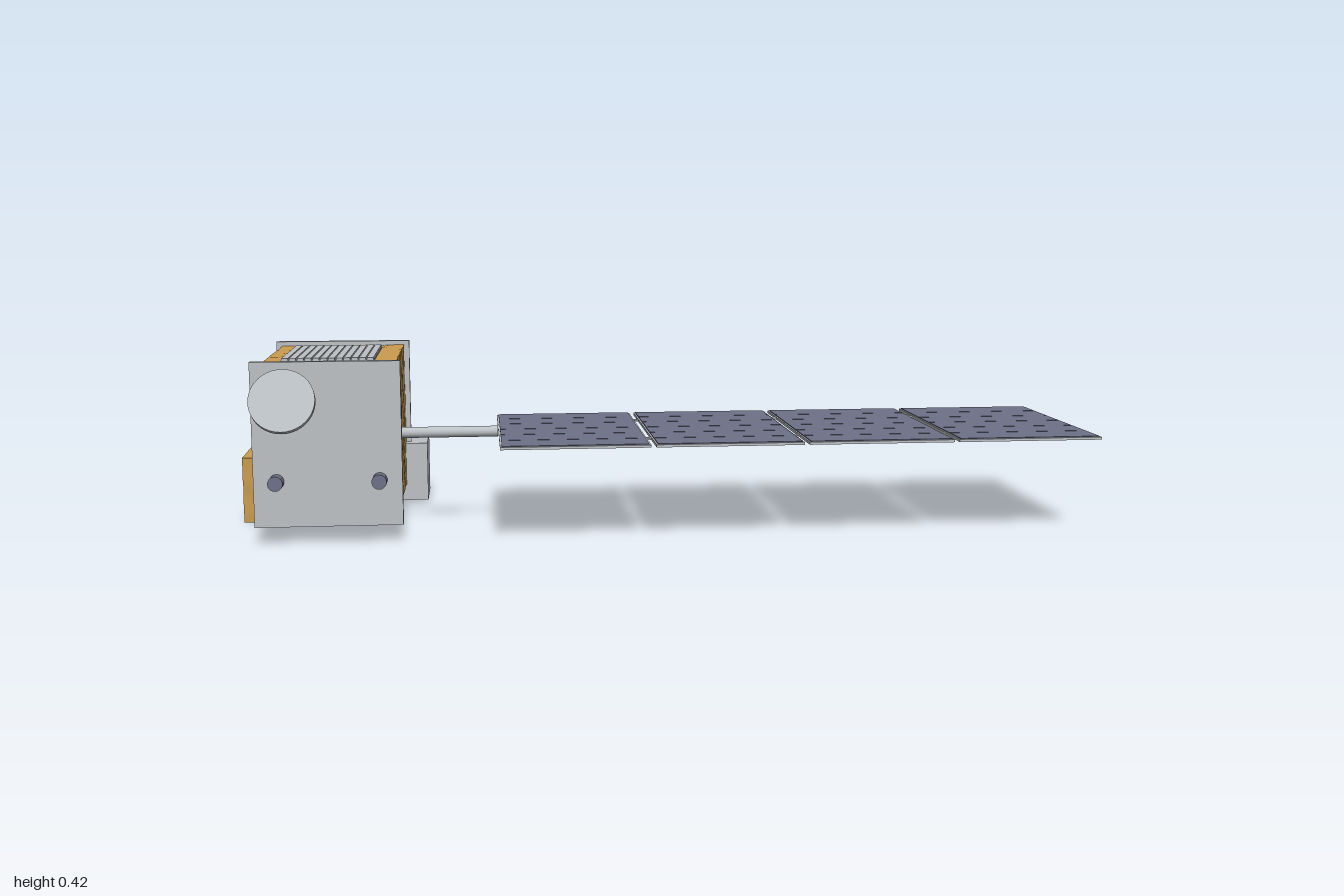
import * as THREE from 'three';

const mat = (name, color, side = THREE.FrontSide) =>
  Object.assign(new THREE.MeshStandardMaterial({ color, side }), { name });

export function createModel() {
  const model = new THREE.Group();
  model.name = 'satellite';
  const gold = mat('gold foil', 0xcb9c4f);
  const grey = mat('light grey', 0xbcc1c5);
  const dark = mat('dark optics', 0x1f2b31, THREE.DoubleSide);
  const cell = mat('solar cell', 0x6e7187);

  const add = (name, geo, material, x = 0, y = 0, z = 0, parent = model) => {
    const m = new THREE.Mesh(geo, material);
    m.name = name;
    m.position.set(x, y, z);
    parent.add(m);
    return m;
  };

  // Box given by its minimum and maximum corners
  const box = (name, material, a, b, parent = model) =>
    add(name, new THREE.BoxGeometry(b[0] - a[0], b[1] - a[1], b[2] - a[2]), material,
      (a[0] + b[0]) / 2, (a[1] + b[1]) / 2, (a[2] + b[2]) / 2, parent);

  // Box wrapped in slightly wrinkled foil
  const foilBox = (name, material, a, b, amount) => {
    const s = b.map((v, i) => v - a[i]);
    const geo = new THREE.BoxGeometry(...s, 12, 12, 12);
    const p = geo.attributes.position;
    const wave = (u, v, w) => Math.sin(u * 47 + 3 * Math.sin(v * 31)) * Math.sin(w * 59 + 2 * Math.sin(u * 23));
    for (let i = 0; i < p.count; i++) {
      const [x, y, z] = [p.getX(i), p.getY(i), p.getZ(i)];
      p.setXYZ(i,
        x * (1 + amount / s[0] * wave(y, z, x)),
        y * (1 + amount / s[1] * wave(z, x, y)),
        z * (1 + amount / s[2] * wave(x, y, z)));
    }
    geo.computeVertexNormals();
    return add(name, geo, material, ...a.map((v, i) => (v + b[i]) / 2));
  };

  // Hollow lens barrel pointing to -z, with a pale rim and a recessed lens
  const barrel = (name, x, y, zStart, zEnd, r) => {
    const g = new THREE.Group();
    g.name = name;
    g.position.set(x, y, zStart);
    g.rotation.x = -Math.PI / 2;
    const len = zStart - zEnd;
    const wall = new THREE.CylinderGeometry(r, r, len, 40, 1, true);
    add('barrelWall', wall, dark, 0, len / 2, 0, g);
    const inner = new THREE.CylinderGeometry(r * 0.87, r * 0.87, len, 40, 1, true);
    add('barrelLining', inner, dark, 0, len / 2, 0, g);
    const lip = add('barrelLip', new THREE.RingGeometry(r * 0.87, r, 40), dark, 0, len, 0, g);
    lip.rotation.x = -Math.PI / 2;
    const lens = add('lens', new THREE.CircleGeometry(r * 0.87, 40), dark, 0, len * 0.6, 0, g);
    lens.rotation.x = -Math.PI / 2;
    const rim = add('barrelRim', new THREE.TorusGeometry(r * 0.96, r * 0.03, 6, 40), grey, 0, len, 0, g);
    rim.rotation.x = Math.PI / 2;
    model.add(g);
  };

  // Main body between two end plates
  foilBox('mainBody', gold, [-0.925, 0.05, -0.165], [-0.62, 0.405, 0.32], 0.002);
  box('frontPlate', grey, [-0.94, 0.04, 0.316], [-0.607, 0.416, 0.333]);
  box('rearPlate', grey, [-0.94, 0.04, -0.178], [-0.607, 0.416, -0.162]);

  // Louvred radiators on top
  const radiator = (name, a, b) => {
    const g = new THREE.Group();
    g.name = name;
    box('radiatorBase', grey, a, [b[0], a[1] + 0.004, b[2]], g);
    const count = 12, pitch = (b[0] - a[0]) / count;
    for (let i = 0; i < count; i++) {
      const x = a[0] + i * pitch;
      box('radiatorSlat', grey, [x + pitch * 0.08, a[1] + 0.004, a[2]], [x + pitch * 0.92, b[1], b[2]], g);
    }
    model.add(g);
  };
  radiator('bodyRadiator', [-0.877, 0.409, -0.037], [-0.668, 0.418, 0.275]);
  box('radiatorMount', grey, [-0.85, 0.4, 0], [-0.7, 0.41, 0.24]);
  radiator('telescopeRadiator', [-0.91, 0.36, -0.325], [-0.636, 0.369, -0.17]);

  // Main telescope
  foilBox('telescopeHousing', grey, [-0.92, 0.158, -0.385], [-0.62, 0.347, -0.17], 0.002);
  barrel('telescopeBarrel', -0.77, 0.253, -0.37, -0.43, 0.0965);

  // Two smaller cameras below
  box('rightCameraHousing', grey, [-0.72, 0.008, -0.283], [-0.565, 0.155, -0.128]);
  barrel('rightCameraBarrel', -0.643, 0.08, -0.275, -0.314, 0.05);
  foilBox('leftCameraHousing', gold, [-0.999, 0.002, -0.141], [-0.83, 0.16, 0.086], 0.002);
  barrel('leftCameraBarrel', -0.915, 0.08, -0.133, -0.172, 0.05);

  // Tilted antenna disc on a short strut
  const dish = add('antennaDish', new THREE.CylinderGeometry(0.073, 0.073, 0.015, 40), grey, -0.865, 0.333, 0.379);
  dish.rotation.x = THREE.MathUtils.degToRad(65);
  const strut = add('antennaStrut', new THREE.CylinderGeometry(0.012, 0.012, 0.045, 16), grey, -0.865, 0.333, 0.353);
  strut.rotation.x = Math.PI / 2;

  // Small nozzles on the front plate
  for (const x of [-0.888, -0.658]) {
    const n = add('nozzle', new THREE.CylinderGeometry(0.017, 0.017, 0.032, 20), cell, x, 0.145, 0.348);
    n.rotation.x = Math.PI / 2;
  }

  // Boom carrying the solar wing
  const boom = add('boom', new THREE.CylinderGeometry(0.013, 0.013, 0.24, 20), grey, -0.508, 0.228, 0.17);
  boom.rotation.z = Math.PI / 2;

  // Four solar panels, each with six rows of cells
  const wing = new THREE.Group();
  wing.name = 'solarWing';
  model.add(wing);
  const z0 = -0.095, depth = 0.527, width = 0.338, rows = 6;
  for (let i = 0; i < 4; i++) {
    const x = -0.387 + i * 0.3497;
    box('panelFrame', grey, [x, 0.224, z0], [x + width, 0.23, z0 + depth], wing);
    for (let r = 0; r < rows; r++) {
      const za = z0 + 0.003 + r * (depth - 0.006) / rows;
      box('cellRow', cell, [x + 0.004, 0.23, za + 0.0015],
        [x + width - 0.004, 0.232, za + (depth - 0.006) / rows - 0.0015], wing);
    }
    // Hinges to the next panel
    if (i < 3) for (const z of [0.02, 0.315])
      box('hinge', grey, [x + width - 0.002, 0.225, z - 0.01], [x + 0.352, 0.229, z + 0.01], wing);
  }
  return model;
}
